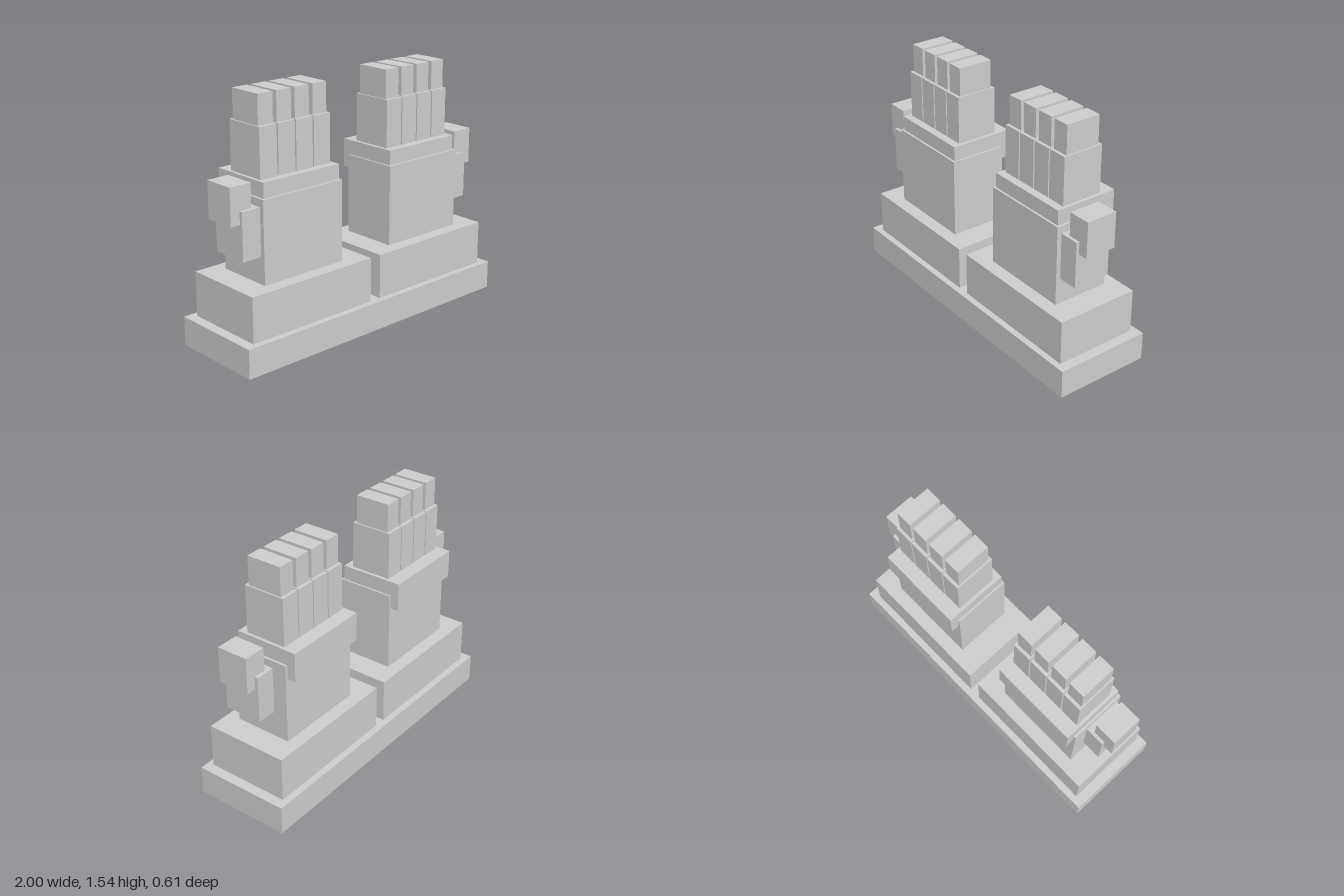
import * as THREE from 'three';

const material = new THREE.MeshStandardMaterial({ color: 0xcccccc, flatShading: true });

// Box given by its extents along each axis
function block(name, [x0, x1], [y0, y1], [z0, z1]) {
  const mesh = new THREE.Mesh(new THREE.BoxGeometry(x1 - x0, y1 - y0, z1 - z0), material);
  mesh.name = name;
  mesh.position.set((x0 + x1) / 2, (y0 + y1) / 2, (z0 + z1) / 2);
  return mesh;
}

// One upright hand; side is +1 for left, -1 for right
function createHand(side) {
  const hand = new THREE.Group();
  hand.name = side > 0 ? 'leftHand' : 'rightHand';
  const add = (name, x, y, z) => {
    const xs = side > 0 ? x : [-x[1], -x[0]];
    hand.add(block(name, xs, y, z));
  };

  add('cuff', [0.038, 0.936], [0.18, 0.46], [-0.265, 0.268]);
  add('palm', [0.197, 0.78], [0.46, 0.965], [-0.182, 0.184]);
  add('knuckles', [0.208, 0.765], [0.878, 1.058], [-0.237, 0.17]);

  // Four fingers, each with a thicker lower segment and a slimmer tip
  for (let i = 0; i < 4; i++) {
    const c = 0.291 + i * 0.131;
    add('fingerBase', [c - 0.061, c + 0.061], [1.058, 1.358], [-0.147, 0.119]);
    add('fingerTip', [c - 0.052, c + 0.052], [1.358, 1.538], [-0.127, 0.099]);
  }

  // Thumb on the outer side
  add('thumbBase', [0.76, 0.905], [0.625, 0.917], [-0.087, 0.154]);
  add('thumbTip', [0.824, 0.968], [0.837, 1.064], [-0.067, 0.134]);
  return hand;
}

export function createModel() {
  const model = new THREE.Group();
  model.name = 'handsOnPlinth';
  model.add(block('plinth', [-1, 1], [0, 0.18], [-0.307, 0.307]));
  for (const side of [-1, 1]) model.add(createHand(side));
  return model;
}
